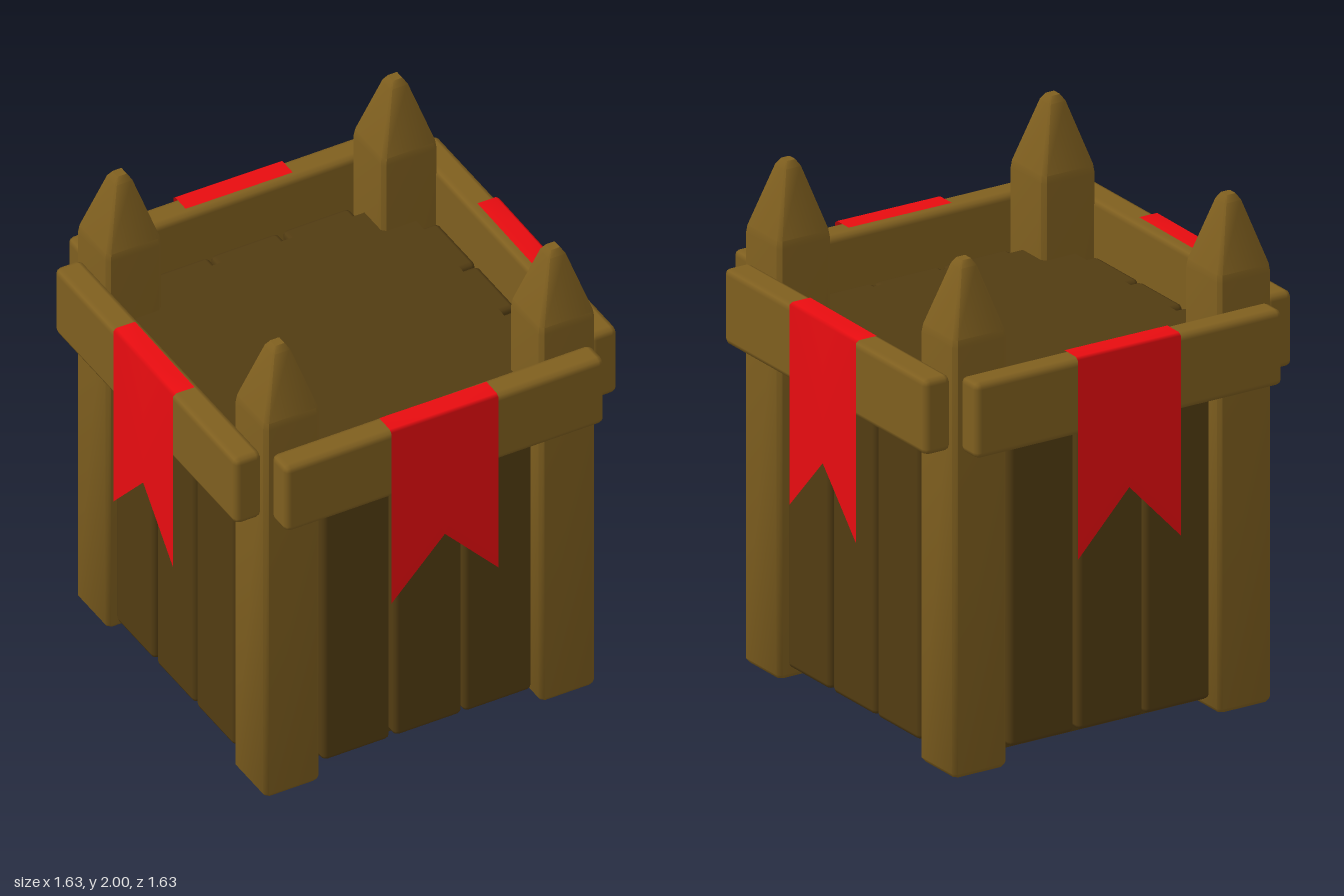
import * as THREE from 'three';
import { toCreasedNormals } from 'three/addons/utils/BufferGeometryUtils.js';
import { RoundedBoxGeometry } from 'three/addons/geometries/RoundedBoxGeometry.js';

const wood = new THREE.MeshStandardMaterial({ color: 0x7f5f1f });
const darkWood = new THREE.MeshStandardMaterial({ color: 0x523c12 });
const cloth = new THREE.MeshStandardMaterial({ color: 0xe80c10, side: THREE.DoubleSide });

function add(parent, name, geometry, material, x = 0, y = 0, z = 0) {
  const mesh = new THREE.Mesh(geometry, material);
  mesh.name = name;
  mesh.position.set(x, y, z);
  parent.add(mesh);
  return mesh;
}

// Box given by its limits, with softly bevelled edges
function bevelBox(parent, name, material, [x0, x1], [y0, y1], [z0, z1], bevel) {
  const geo = new RoundedBoxGeometry(x1 - x0, y1 - y0, z1 - z0, 1, bevel);
  return add(parent, name, geo, material, (x0 + x1) / 2, (y0 + y1) / 2, (z0 + z1) / 2);
}

// Square post with chamfered corners, lofted through [half width, height] pairs
function postGeometry(profile) {
  const pos = [], idx = [], n = 8;
  for (const [r, y] of profile) {
    const c = r * 0.87;
    for (const [x, z] of [[c, r], [r, c], [r, -c], [c, -r], [-c, -r], [-r, -c], [-r, c], [-c, r]]) pos.push(x, y, z);
  }
  for (let i = 0; i < profile.length - 1; i++) {
    for (let j = 0; j < n; j++) {
      const a = i * n + j, b = i * n + (j + 1) % n;
      idx.push(a, b, b + n, a, b + n, a + n);
    }
  }
  const top = (profile.length - 1) * n;
  for (let j = 1; j < n - 1; j++) {
    idx.push(0, j + 1, j);
    idx.push(top, top + j, top + j + 1);
  }
  const geo = new THREE.BufferGeometry();
  geo.setAttribute('position', new THREE.Float32BufferAttribute(pos, 3));
  geo.setIndex(idx);
  return toCreasedNormals(geo, 0.75);
}

// Swallow-tailed banner: a short flap on the beam, then a hanging sheet
function bannerGeometry(x0, x1) {
  const xm = (x0 + x1) / 2;
  const pos = [];
  const rows = [[1.6, 1.6, 0.722], [1.6, 1.6, 0.8], [1.59, 1.59, 0.813], [0.8, 1.04, 0.813]];
  for (const [ySide, yMid, z] of rows) pos.push(x0, ySide, z, xm, yMid, z, x1, ySide, z);
  const idx = [];
  for (let i = 0; i < rows.length - 1; i++) {
    for (let j = 0; j < 2; j++) {
      const a = i * 3 + j, b = a + 3;
      // the tail quads are split so that the notch stays straight
      if (j === 0) idx.push(a, b, b + 1, a, b + 1, a + 1);
      else idx.push(a, b, a + 1, a + 1, b, b + 1);
    }
  }
  const geo = new THREE.BufferGeometry();
  geo.setAttribute('position', new THREE.Float32BufferAttribute(pos, 3));
  geo.setIndex(idx);
  geo.computeVertexNormals();
  return geo;
}

export function createModel() {
  const model = new THREE.Group();
  model.name = 'woodenTower';

  // Inner body
  add(model, 'body', new THREE.BoxGeometry(1.21, 1.37, 1.21), darkWood, 0, 0.715, 0);

  // Pointed corner posts
  const post = postGeometry([[0.107, 0], [0.117, 0.015], [0.117, 1.7], [0.113, 1.73], [0.036, 1.975], [0.02, 2]]);
  for (const x of [-0.582, 0.582]) {
    for (const z of [-0.585, 0.585]) add(model, 'cornerPost', post, wood, x, 0, z);
  }

  // Each side: three planks, a top beam and a banner
  const banner = bannerGeometry(-0.22, 0.23);
  for (let i = 0; i < 4; i++) {
    const side = new THREE.Group();
    side.name = ['front', 'left', 'back', 'right'][i] + 'Side';
    side.rotation.y = i * Math.PI / 2;
    for (const limits of [[-0.442, -0.157], [-0.14, 0.147], [0.154, 0.442]]) {
      bevelBox(side, 'plank', darkWood, limits, [0.06, 1.385], [0.56, 0.682], 0.02);
    }
    bevelBox(side, 'topBeam', wood, [-0.672, 0.677], [1.29, 1.59], [0.695, 0.81], 0.025);
    add(side, 'banner', banner, cloth).rotation.y = -0.01;
    model.add(side);
  }
  return model;
}
